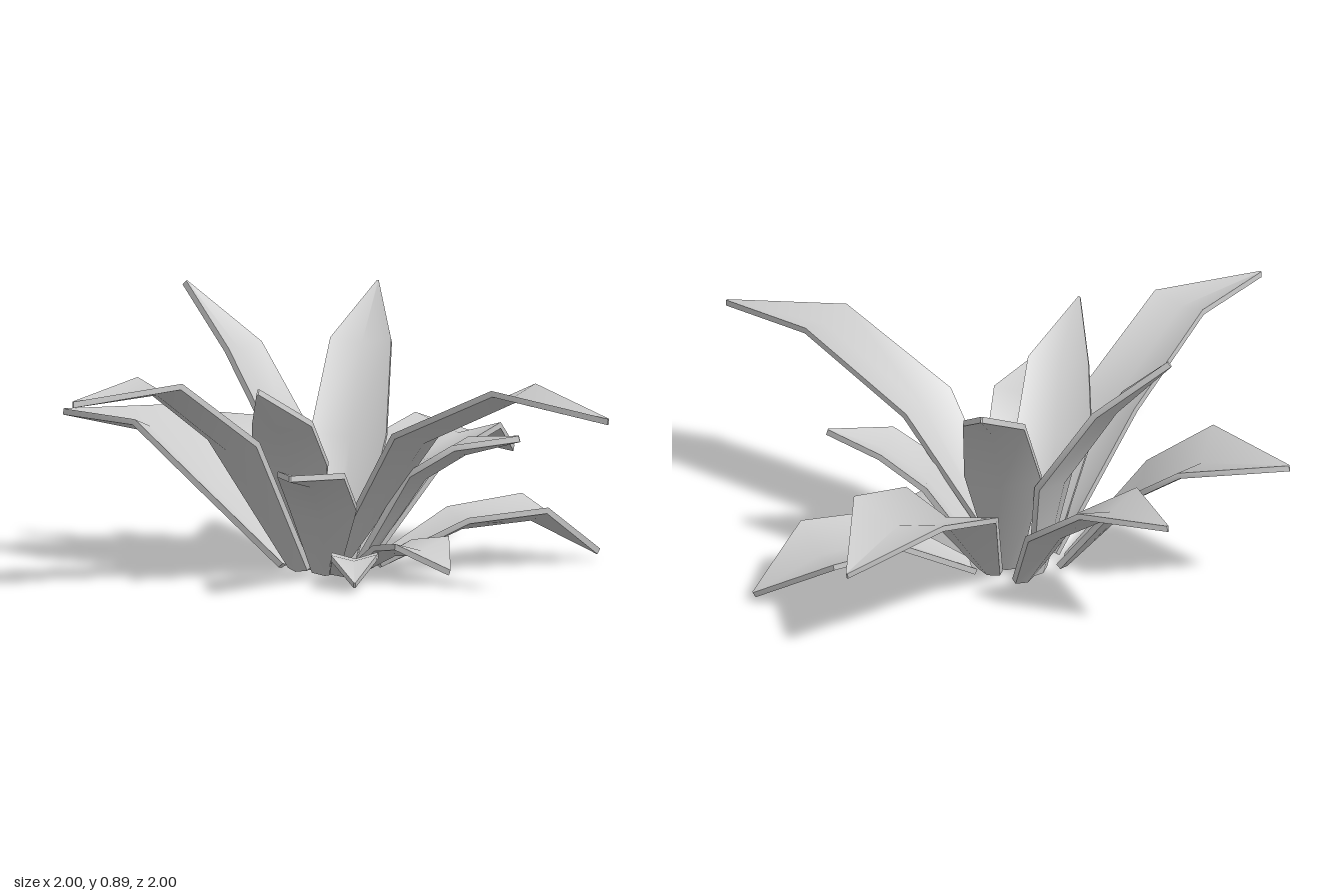
import * as THREE from 'three';
import { toCreasedNormals } from 'three/addons/utils/BufferGeometryUtils.js';

const V = (p) => new THREE.Vector3(...p);
const THICKNESS = 0.02;

// One leaf: four V-shaped cross-sections (base, mid, shoulder, tip) along a spine.
function leafGeometry(spine, widths) {
  const pts = spine.map(V);
  const dir = pts[3].clone().sub(pts[0]).setY(0).normalize();
  const side = dir.clone().cross(new THREE.Vector3(0, 1, 0));
  const pos = [];

  pts.forEach((p, i) => {
    const tangent = pts[Math.min(i + 1, 3)].clone().sub(pts[Math.max(i - 1, 0)]).normalize();
    const normal = side.clone().cross(tangent).normalize();
    const top = [-1, 0, 1].map((k) =>
      p.clone().addScaledVector(side, k * widths[i] / 2)
        .addScaledVector(normal, Math.abs(k) * widths[i] * 0.14));
    const bottom = top.map((q) => q.clone().addScaledVector(normal, -THICKNESS)).reverse();
    for (const q of [...top, ...bottom]) pos.push(q.x, Math.max(q.y, 0), q.z);
  });

  const index = [];
  for (let r = 0; r < 3; r++) {
    for (let k = 0; k < 6; k++) {
      const a = r * 6 + k, b = r * 6 + (k + 1) % 6;
      index.push(a, b, b + 6, a, b + 6, a + 6);
    }
  }
  // end caps, split into two quads because the section is V-shaped
  for (const [a, b, c, d] of [[0, 1, 4, 5], [1, 2, 3, 4]]) {
    index.push(a, c, b, a, d, c);
    index.push(a + 18, b + 18, c + 18, a + 18, c + 18, d + 18);
  }
  const g = new THREE.BufferGeometry();
  g.setAttribute('position', new THREE.Float32BufferAttribute(pos, 3));
  g.setIndex(index);
  return toCreasedNormals(g, 0.9);
}

export function createModel() {
  const plant = new THREE.Group();
  plant.name = 'plant';
  const material = new THREE.MeshStandardMaterial({ color: 0xcccccc });

  // base (x, z), then mid, shoulder and tip points, then mid and shoulder widths
  const leaf = (name, [bx, bz], mid, shoulder, tip, midWidth, shoulderWidth) => {
    const geometry = leafGeometry(
      [[bx, 0.015, bz], mid, shoulder, tip],
      [0.09, midWidth, shoulderWidth, 0.006]);
    const mesh = new THREE.Mesh(geometry, material);
    mesh.name = name;
    plant.add(mesh);
  };

  // long upper leaves
  leaf('frontLongLeaf', [0.12, -0.15], [0.15, 0.46, 0.2], [0.17, 0.635, 0.6], [0.19, 0.6, 1], 0.24, 0.22);
  leaf('rightLongLeaf', [0, -0.2], [-0.3, 0.44, -0.22], [-0.63, 0.66, -0.225], [-1, 0.655, -0.25], 0.23, 0.21);
  leaf('backTallLeaf', [0.13, -0.27], [0.13, 0.37, -0.36], [0.1, 0.68, -0.56], [0.05, 0.89, -0.75], 0.22, 0.19);
  leaf('leftTallLeaf', [0.17, -0.17], [0.31, 0.4, -0.27], [0.47, 0.68, -0.37], [0.68, 0.85, -0.5], 0.25, 0.2);
  leaf('rightTallLeaf', [0.02, -0.19], [-0.12, 0.36, -0.13], [-0.28, 0.52, -0.01], [-0.46, 0.67, 0.06], 0.25, 0.2);

  // broad middle leaves
  leaf('backRightBroadLeaf', [0.03, -0.29], [-0.13, 0.27, -0.48], [-0.15, 0.44, -0.72], [-0.26, 0.48, -1], 0.31, 0.37);
  leaf('backLeftBroadLeaf', [0.2, -0.27], [0.25, 0.25, -0.45], [0.23, 0.39, -0.66], [0.25, 0.43, -0.92], 0.24, 0.27);
  leaf('leftBroadLeaf', [0.23, -0.15], [0.48, 0.31, -0.18], [0.73, 0.38, -0.19], [1, 0.31, -0.2], 0.37, 0.36);
  leaf('frontLeftLeaf', [0.2, -0.12], [0.31, 0.31, 0.05], [0.37, 0.4, 0.18], [0.46, 0.45, 0.34], 0.23, 0.21);
  leaf('frontRightLeaf', [0, -0.08], [-0.13, 0.23, 0.03], [-0.29, 0.36, 0.13], [-0.5, 0.41, 0.24], 0.22, 0.22);

  // low outer leaves
  leaf('leftLowLeaf', [0.25, -0.09], [0.46, 0.14, 0.08], [0.71, 0.15, 0.16], [0.88, 0.035, 0.3], 0.27, 0.34);
  leaf('frontRightLowLeaf', [0.03, -0.03], [-0.05, 0.08, 0.1], [-0.14, 0.09, 0.18], [-0.22, 0.035, 0.26], 0.15, 0.15);
  leaf('frontLowLeaf', [0.13, -0.05], [0.13, 0.09, 0.1], [0.13, 0.1, 0.22], [0.13, 0.05, 0.35], 0.18, 0.25);

  return plant;
}
